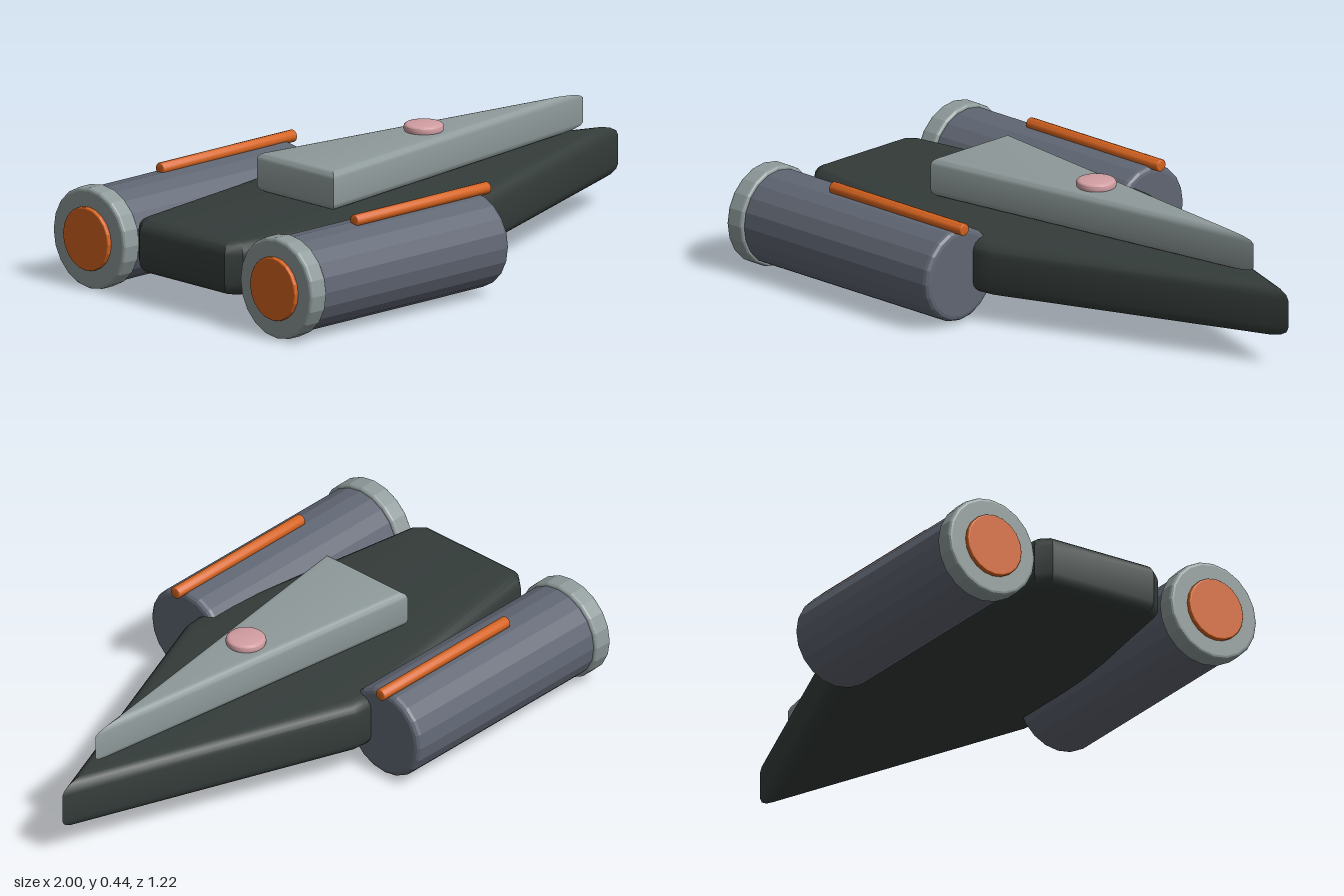
import * as THREE from 'three';
import { toCreasedNormals } from 'three/addons/utils/BufferGeometryUtils.js';

const mat = (name, color) => {
  const m = new THREE.MeshStandardMaterial({ color });
  m.name = name;
  return m;
};

// Inset a convex [x, z] outline by distance d with mitred corners
function inset(points, d) {
  const n = points.length;
  const normal = (a, b) => {
    const dx = b[0] - a[0], dz = b[1] - a[1], l = Math.hypot(dx, dz);
    return [-dz / l, dx / l];
  };
  return points.map((p, i) => {
    const n1 = normal(points[(i + n - 1) % n], p);
    const n2 = normal(p, points[(i + 1) % n]);
    const k = d / (1 + n1[0] * n2[0] + n1[1] * n2[1]);
    return [p[0] - (n1[0] + n2[0]) * k, p[1] - (n1[1] + n2[1]) * k];
  });
}

// Upright prism with rounded top and bottom edges
function roundedPrism(points, y0, y1, bevel, steps = 4) {
  const rings = [];
  for (let i = 0; i <= steps; i++) {
    const a = (i / steps) * Math.PI / 2;
    rings.push([y0 + bevel * (1 - Math.sin(a)), bevel * (1 - Math.cos(a))]);
  }
  rings.reverse();
  rings.push(...rings.map(([y, d]) => [y0 + y1 - y, d]).reverse());
  const n = points.length, pos = [], idx = [];
  for (const [y, d] of rings) for (const [x, z] of inset(points, d)) pos.push(x, y, z);
  for (let k = 0; k < rings.length - 1; k++) {
    for (let i = 0; i < n; i++) {
      const a = k * n + i, b = k * n + (i + 1) % n;
      idx.push(a, b, b + n, a, b + n, a + n);
    }
  }
  const top = (rings.length - 1) * n;
  for (let i = 1; i < n - 1; i++) {
    idx.push(0, i + 1, i);
    idx.push(top, top + i, top + i + 1);
  }
  const g = new THREE.BufferGeometry();
  g.setAttribute('position', new THREE.Float32BufferAttribute(pos, 3));
  g.setIndex(idx);
  return toCreasedNormals(g, 0.45);
}

// Solid disc or cylinder along y with softened rims
function softCylinder(radius, length, bevel, sides, crease) {
  const h = length / 2, profile = [new THREE.Vector2(0, -h)];
  for (const s of [-1, 1]) {
    for (let i = 0; i <= 3; i++) {
      const a = (s < 0 ? i : 3 - i) / 3 * Math.PI / 2;
      profile.push(new THREE.Vector2(
        radius - bevel * (1 - Math.sin(a)), s * (h - bevel * (1 - Math.cos(a)))));
    }
  }
  profile.push(new THREE.Vector2(0, h));
  return toCreasedNormals(new THREE.LatheGeometry(profile, sides), crease);
}

// The same, lying along x between two stations
function alongX(x0, x1, radius, bevel, sides, crease = 0.2) {
  return softCylinder(radius, x1 - x0, bevel, sides, crease)
    .rotateZ(-Math.PI / 2).translate((x0 + x1) / 2, 0, 0);
}

export function createModel() {
  const dark = mat('hull charcoal', 0x343c3a);
  const pale = mat('pale grey', 0x8f9a9a);
  const slate = mat('engine slate', 0x606673);
  const orange = mat('orange', 0xd4621f);
  const pink = mat('pink', 0xd29ea3);

  const model = new THREE.Group();
  model.name = 'spaceship';
  const add = (parent, name, geometry, material) => {
    const mesh = new THREE.Mesh(geometry, material);
    mesh.name = name;
    parent.add(mesh);
    return mesh;
  };

  // Hull: arrowhead outline, mirrored across z
  const side = [[0.0, -0.382], [-0.06, -0.388], [-0.945, -0.245], [-0.985, -0.2]];
  const outline = [[1, 0], ...side, ...side.map(([x, z]) => [x, -z]).reverse()];
  add(model, 'hull', roundedPrism(outline, 0.095, 0.28, 0.045), dark);

  // Upper wedge and its round dome light
  add(model, 'upperDeck',
    roundedPrism([[0.84, 0], [-0.47, -0.18], [-0.47, 0.18]], 0.283, 0.417, 0.025), pale);
  add(model, 'topLight', softCylinder(0.067, 0.03, 0.014, 32, 0.7), pink)
    .position.set(0.115, 0.427, 0);

  // One engine pod on each side
  for (const s of [1, -1]) {
    const pod = new THREE.Group();
    pod.name = s > 0 ? 'frontEngine' : 'rearEngine';
    pod.position.set(0, 0.171, s * 0.439);
    add(pod, 'engineBody', alongX(-0.93, -0.07, 0.16, 0.02, 20), slate);
    add(pod, 'engineCollar', alongX(-0.985, -0.913, 0.171, 0.012, 20), pale);
    add(pod, 'exhaust', alongX(-1, -0.97, 0.107, 0.005, 20), orange);
    add(pod, 'engineRod', alongX(-0.645, -0.037, 0.021, 0.005, 12, 0.6), orange)
      .position.set(0, 0.168, s * 0.017);
    model.add(pod);
  }
  return model;
}
